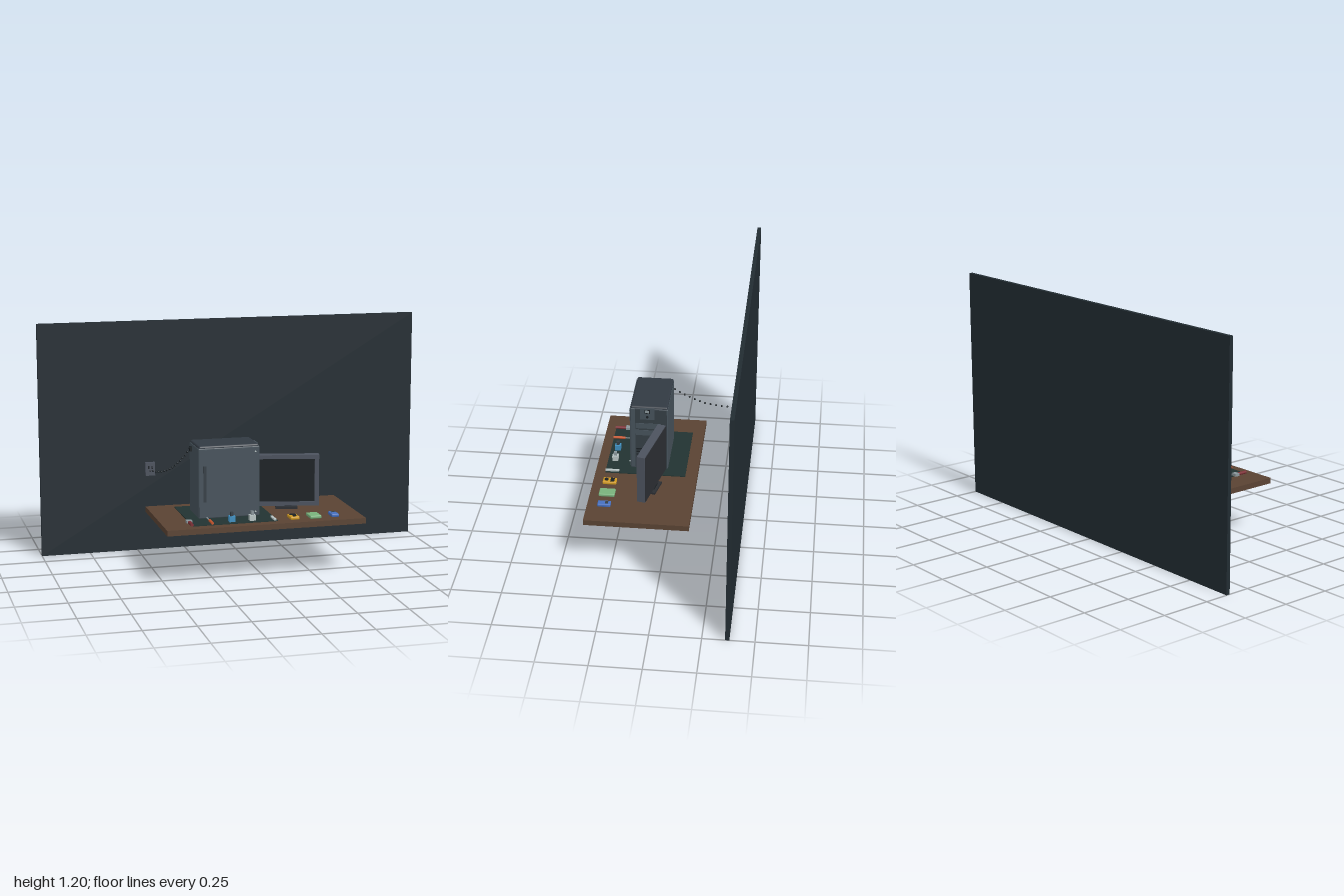
import * as THREE from 'three';
import { RoundedBoxGeometry } from 'three/addons/geometries/RoundedBoxGeometry.js';

const mat = (color) => new THREE.MeshStandardMaterial({ color });
const M = {
  wall: mat(0x222c32), desk: mat(0x5a4333), mat: mat(0x223331), tower: mat(0x46525b),
  cap: mat(0x323a43), dark: mat(0x1a2024), trim: mat(0x353e45), steel: mat(0x8b979c),
  light: mat(0xb8c4c4), bezel: mat(0x4c525e), back: mat(0x2b2e33), red: mat(0x7d2f35),
  orange: mat(0xc9562c), blue: mat(0x3f8fc0), navy: mat(0x4670c0), yellow: mat(0xd19a22),
  green: mat(0x79b27c),
};

function add(parent, name, geometry, material, x, y, z) {
  const m = new THREE.Mesh(geometry, material);
  m.name = name;
  m.position.set(x, y, z);
  parent.add(m);
  return m;
}
const box = (p, name, m, w, h, d, x, y, z) => add(p, name, new THREE.BoxGeometry(w, h, d), m, x, y, z);
const soft = (p, name, m, w, h, d, x, y, z, r = 0.005) =>
  add(p, name, new RoundedBoxGeometry(w, h, d, 2, r), m, x, y, z);
// cylinder along an axis
function rod(p, name, m, r, len, x, y, z, axis = 'y') {
  const g = new THREE.CylinderGeometry(r, r, len, 12);
  if (axis === 'x') g.rotateZ(Math.PI / 2);
  if (axis === 'z') g.rotateX(Math.PI / 2);
  return add(p, name, g, m, x, y, z);
}
function group(parent, name, x = 0, y = 0, z = 0) {
  const g = new THREE.Group();
  g.name = name;
  g.position.set(x, y, z);
  parent.add(g);
  return g;
}

function buildTower(root) {
  const t = group(root, 'computerTower', -0.15, 0, 0.11);
  soft(t, 'towerBody', M.tower, 0.31, 0.352, 0.192, 0, 0.462, 0, 0.006);
  soft(t, 'towerTop', M.cap, 0.304, 0.024, 0.188, 0, 0.636, 0, 0.009);
  // side panel facing forward with its handle and screws
  box(t, 'sidePanel', M.tower, 0.296, 0.335, 0.004, -0.002, 0.462, 0.097);
  box(t, 'panelHandle', M.trim, 0.015, 0.18, 0.008, -0.124, 0.46, 0.101);
  for (const y of [0.31, 0.612]) rod(t, 'panelScrew', M.light, 0.004, 0.008, 0.132, y, 0.1, 'z');
  // bezel on the +x end: control panel, drive bays, air slots
  box(t, 'endBezel', M.trim, 0.004, 0.345, 0.16, 0.155, 0.462, -0.01);
  box(t, 'controlPanel', M.tower, 0.005, 0.064, 0.074, 0.157, 0.61, 0.008);
  box(t, 'statusDisplay', M.dark, 0.004, 0.022, 0.028, 0.159, 0.625, 0.008);
  box(t, 'displayGlass', M.steel, 0.004, 0.014, 0.02, 0.16, 0.625, 0.008);
  rod(t, 'powerButton', M.dark, 0.007, 0.006, 0.159, 0.594, 0.008, 'x');
  for (const y of [0.54, 0.5]) box(t, 'driveBay', M.tower, 0.005, 0.03, 0.125, 0.157, y, 0.005);
  for (let i = 0; i < 6; i++)
    box(t, 'airSlot', M.dark, 0.004, 0.007, 0.1, 0.157, 0.322 + i * 0.016, 0.016);
  // cable socket on the other end
  box(t, 'cableSocket', M.dark, 0.012, 0.024, 0.024, -0.159, 0.61, -0.05);
}

function buildMonitor(root) {
  const m = group(root, 'monitor', 0.18, 0, 0.078);
  m.rotation.y = -0.215;
  // open frame around a recessed screen
  const s = new THREE.Shape([[-0.162, 0.3], [0.162, 0.3], [0.162, 0.56], [-0.162, 0.56]].map((p) => new THREE.Vector2(...p)));
  s.holes.push(new THREE.Path([[-0.14, 0.321], [-0.14, 0.54], [0.14, 0.54], [0.14, 0.321]].map((p) => new THREE.Vector2(...p))));
  add(m, 'monitorFrame', new THREE.ExtrudeGeometry(s, { depth: 0.042, bevelEnabled: false }), M.bezel, 0, 0, -0.021);
  box(m, 'screen', M.dark, 0.282, 0.222, 0.024, 0, 0.43, 0.003);
  box(m, 'monitorBack', M.back, 0.318, 0.254, 0.004, 0, 0.43, -0.021);
  box(m, 'standNeck', M.dark, 0.05, 0.03, 0.02, 0, 0.298, -0.012);
  box(m, 'standFoot', M.back, 0.11, 0.01, 0.055, 0, 0.288, -0.008);
}

function buildTools(root) {
  const y = 0.287;
  // small hammer
  const h = group(root, 'hammer', -0.367, y + 0.005, 0.29);
  box(h, 'hammerHead', M.steel, 0.028, 0.014, 0.026, 0, 0.001, -0.026);
  rod(h, 'hammerHandle', M.red, 0.008, 0.058, 0, 0, 0.014, 'z');
  // screwdriver
  const d = group(root, 'screwdriver', -0.265, y + 0.006, 0.27);
  rod(d, 'screwdriverShaft', M.steel, 0.003, 0.07, 0, 0, -0.03, 'z');
  rod(d, 'screwdriverHandle', M.orange, 0.007, 0.062, 0, 0, 0.03, 'z');
  // two small bottles
  [[-0.16, M.blue], [-0.057, M.light]].forEach(([x, m], i) => {
    const b = group(root, 'bottle', x, y, 0.293);
    box(b, 'bottleBody', m, 0.03, 0.028, 0.03, 0, 0.014, 0);
    box(b, 'bottleCap', i ? M.steel : M.trim, 0.014, 0.02, 0.016, 0, 0.037, 0);
  });
  // flat blade
  box(root, 'spatula', M.light, 0.012, 0.008, 0.07, 0.05, y + 0.004, 0.295);
  // meter
  const g = group(root, 'meter', 0.152, 0.283, 0.294);
  soft(g, 'meterBody', M.yellow, 0.046, 0.016, 0.07, 0, 0.008, 0);
  box(g, 'meterDisplay', M.dark, 0.032, 0.004, 0.02, 0, 0.016, -0.014);
  rod(g, 'meterDial', M.dark, 0.01, 0.006, 0, 0.017, 0.016);
  // cloth pad
  soft(root, 'spongePad', M.green, 0.058, 0.016, 0.08, 0.257, 0.291, 0.293);
  // blue case
  const c = group(root, 'smallCase', 0.359, 0.283, 0.294);
  soft(c, 'caseBody', M.navy, 0.038, 0.017, 0.066, 0, 0.0085, 0);
  box(c, 'caseLabel', M.trim, 0.022, 0.003, 0.014, 0, 0.017, -0.012);
}

function buildCable(root) {
  const o = group(root, 'wallOutlet', -0.43, 0.43, -0.353);
  box(o, 'outletPlate', M.bezel, 0.05, 0.07, 0.014, 0, 0, 0);
  for (const x of [-0.009, 0.009]) box(o, 'outletSlot', M.dark, 0.006, 0.016, 0.004, x, 0.008, 0.006);
  // beaded cable sagging from the tower to the outlet
  const path = new THREE.CatmullRomCurve3([
    [-0.314, 0.612, 0.055], [-0.328, 0.567, 0.01], [-0.35, 0.512, -0.067], [-0.373, 0.468, -0.145],
    [-0.4, 0.438, -0.235], [-0.43, 0.421, -0.348],
  ].map((p) => new THREE.Vector3(...p)));
  const bead = new THREE.SphereGeometry(0.0055, 8, 6);
  path.getSpacedPoints(15).forEach((p) => add(root, 'cableBead', bead, M.dark, p.x, p.y, p.z));
}

export function createModel() {
  const root = new THREE.Group();
  root.name = 'repairDesk';
  box(root, 'wall', M.wall, 2, 1.2, 0.02, 0, 0.6, -0.37);
  box(root, 'deskTop', M.desk, 1, 0.028, 0.52, 0, 0.269, 0.12);
  box(root, 'workMat', M.mat, 0.428, 0.004, 0.41, -0.15, 0.285, 0.125);
  box(root, 'underDeskPlate', M.cap, 0.2, 0.004, 0.185, 0.15, 0.2545, 0.092);
  buildTower(root);
  buildMonitor(root);
  buildTools(root);
  buildCable(root);
  return root;
}
